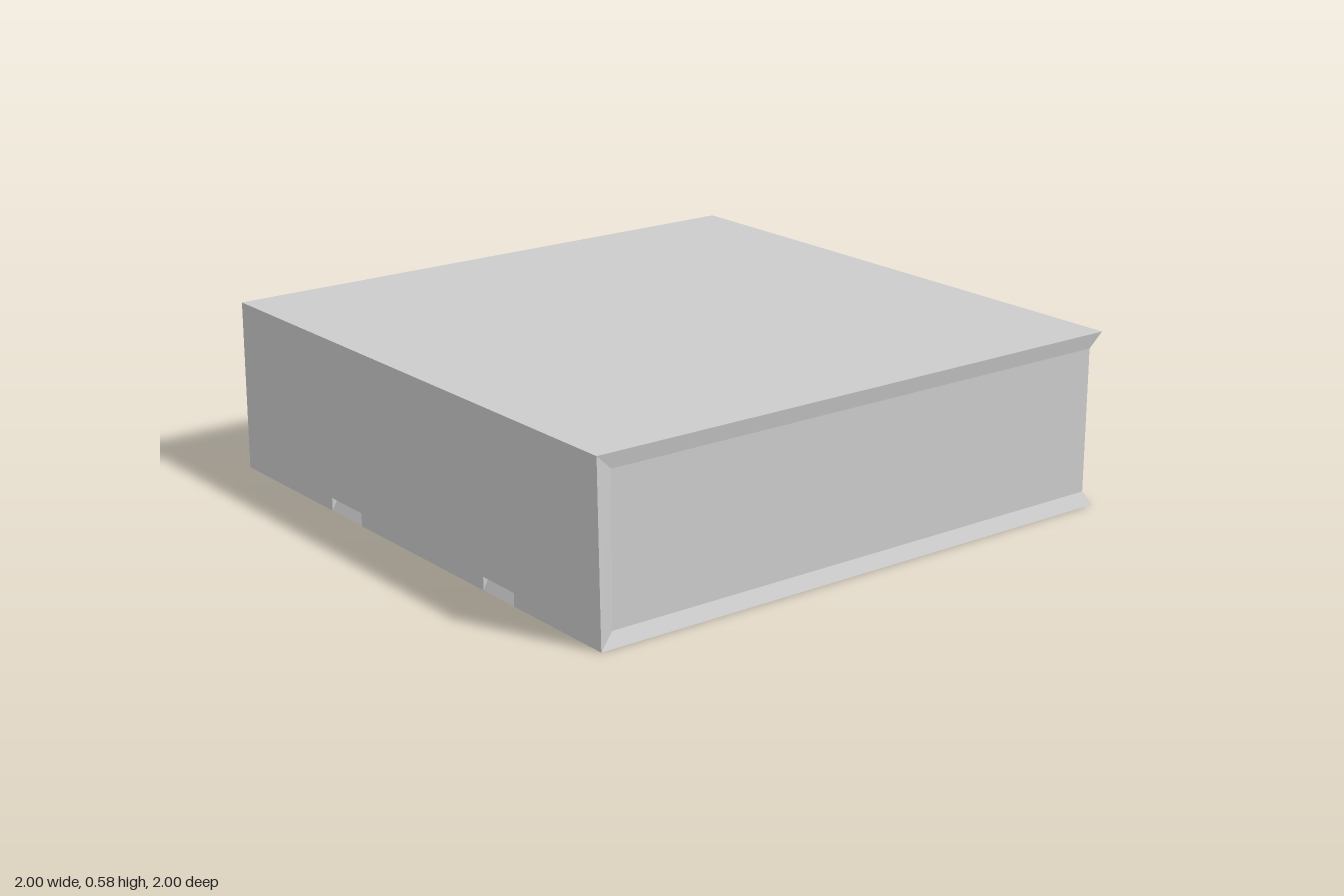
import * as THREE from 'three';

const material = new THREE.MeshStandardMaterial({ color: 0xcccccc, flatShading: true, side: THREE.DoubleSide });

// Levels, bottom to top: height, right edge, front wall, back wall, inner end of the left flare
const levels = [
  { y: 0, right: 0.98, front: 1.0, back: -1.0, inner: -1 },
  { y: 0.043, right: 0.957, front: 0.975, back: -0.985, inner: -0.943 },
  { y: 0.527, right: 0.957, front: 0.975, back: -0.985, inner: -0.943 },
  { y: 0.578, right: 1.0, front: 0.985, back: -1.0, inner: -1 },
];
const topY = 0.578;
const frontEdge = y => 1.0 - 0.015 * y / topY; // front edge of the flat left side

// Corners run counter-clockwise from front left, seen from above
const ring = ({ y, right, front, back, inner }) => [
  [-1, y, frontEdge(y)], [inner, y, front], [right, y, front],
  [right, y, back], [inner, y, back], [-1, y, -1],
];

function quadGeometry(quads) {
  const positions = [];
  for (const [a, b, c, d] of quads) positions.push(...a, ...b, ...c, ...a, ...c, ...d);
  const geometry = new THREE.BufferGeometry();
  geometry.setAttribute('position', new THREE.Float32BufferAttribute(positions, 3));
  geometry.computeVertexNormals();
  return geometry;
}

function addMesh(group, name, geometry) {
  const mesh = new THREE.Mesh(geometry, material);
  mesh.name = name;
  group.add(mesh);
}

export function createModel() {
  const group = new THREE.Group();
  group.name = 'flaredBlock';
  const rings = levels.map(ring);

  // Recessed front, right and back walls with their flared borders
  const walls = [];
  for (let i = 0; i < rings.length - 1; i++) {
    for (let j = 0; j < 5; j++) {
      walls.push([rings[i][j], rings[i][j + 1], rings[i + 1][j + 1], rings[i + 1][j]]);
    }
  }
  addMesh(group, 'flaredWalls', quadGeometry(walls));

  // Flat top and bottom
  const cap = r => [r[0], r[2], r[3], r[5]];
  addMesh(group, 'topPanel', quadGeometry([cap(rings[3])]));
  addMesh(group, 'bottomPanel', quadGeometry([cap(rings[0]).reverse()]));

  // Flat left side with two notches along its lower edge
  const notches = [[-0.46, -0.28], [0.41, 0.57]];
  const h = 0.043, depth = 0.023;
  const side = new THREE.Shape();
  side.moveTo(-1, 0);
  for (const [z0, z1] of notches) {
    side.lineTo(z0, 0);
    side.lineTo(z0, h);
    side.lineTo(z1, h);
    side.lineTo(z1, 0);
  }
  side.lineTo(1, 0);
  side.lineTo(frontEdge(topY), topY);
  side.lineTo(-1, topY);
  addMesh(group, 'flatSide', new THREE.ShapeGeometry(side).rotateY(-Math.PI / 2).translate(-1, 0, 0));

  // Sloping recess behind each notch
  const x = -1 + depth;
  for (const [z0, z1] of notches) {
    addMesh(group, 'notch', quadGeometry([
      [[-1, 0, z0], [-1, 0, z1], [x, h, z1], [x, h, z0]],
      [[-1, h, z0], [x, h, z0], [x, h, z1], [-1, h, z1]],
      [[-1, 0, z0], [x, h, z0], [-1, h, z0], [-1, h, z0]],
      [[-1, 0, z1], [-1, h, z1], [x, h, z1], [x, h, z1]],
    ]));
  }
  return group;
}
